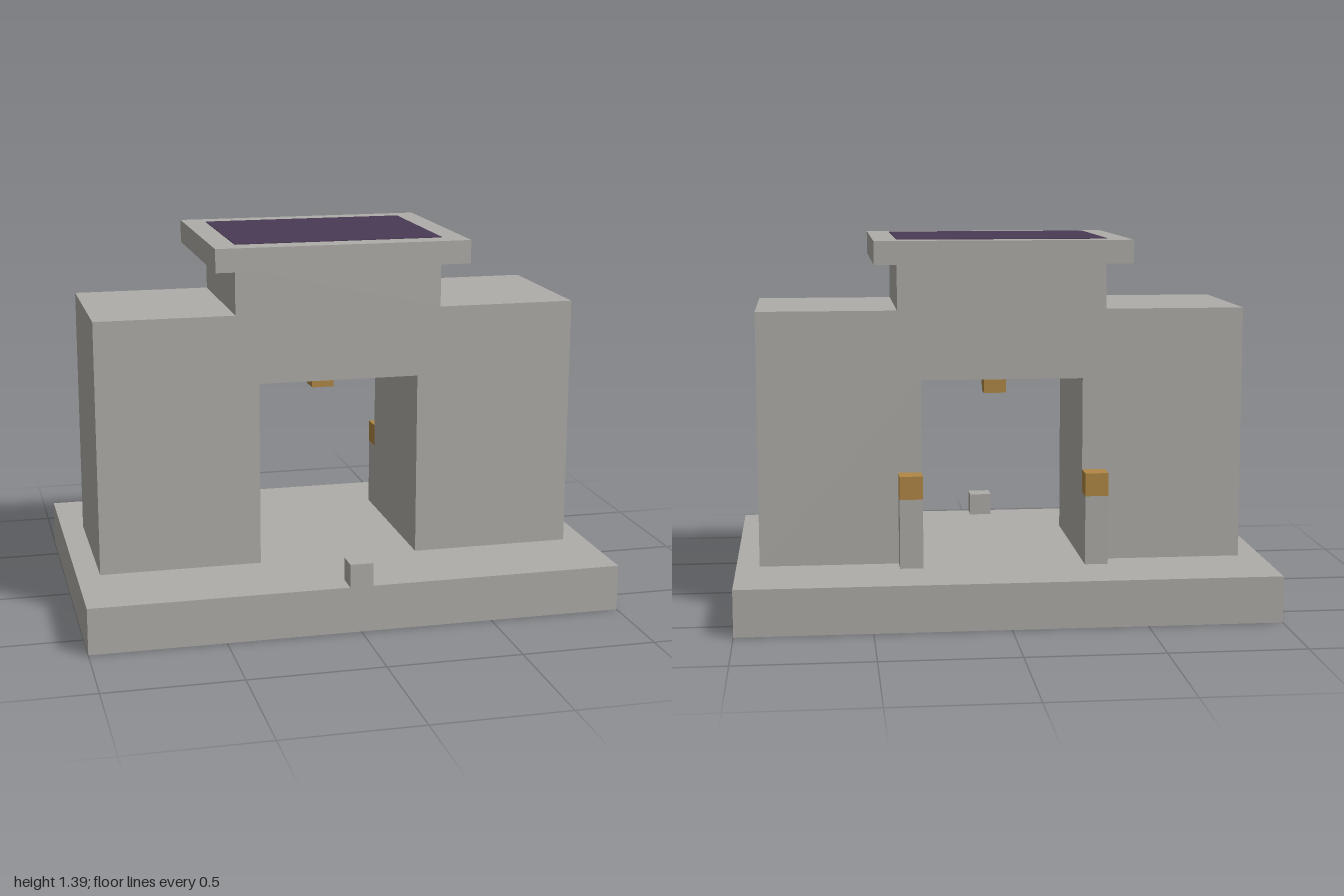
import * as THREE from 'three';

// Everything sits on a block grid, 23 blocks across the longest side
const U = 2 / 23;

export function createModel() {
  const model = new THREE.Group();
  model.name = 'gatehouse';

  const stone = new THREE.MeshStandardMaterial({ color: 0xafada8 });
  stone.name = 'stone grey';
  const gold = new THREE.MeshStandardMaterial({ color: 0xb08845 });
  gold.name = 'lamp gold';
  const purple = new THREE.MeshStandardMaterial({ color: 0x4a3a55 });
  purple.name = 'dark purple';

  // Box given in blocks: size, centre x, bottom y, centre z
  function box(name, material, [w, h, d], [x, y, z], parent = model) {
    const mesh = new THREE.Mesh(new THREE.BoxGeometry(w * U, h * U, d * U), material);
    mesh.position.set(x * U, (y + h / 2) * U, z * U);
    mesh.name = name;
    parent.add(mesh);
    return mesh;
  }

  // Base slab and the small marker at its front edge
  box('base', stone, [23, 2, 15], [0, 0, 0]);
  box('frontMarker', stone, [1, 1, 1], [0, 2, 7]);

  // Gateway: two piers, lintel and raised middle in one outline
  const half = [[3.5, 2], [10.5, 2], [10.5, 13], [4.5, 13], [4.5, 15]];
  const inner = [[-3.5, 10], [3.5, 10]];
  const mirrored = half.map(([x, y]) => [-x, y]).reverse();
  const outline = [...half, ...mirrored, ...inner];
  const shape = new THREE.Shape(outline.map(([x, y]) => new THREE.Vector2(x * U, y * U)));
  const gateGeometry = new THREE.ExtrudeGeometry(shape, { depth: 7 * U, bevelEnabled: false });
  gateGeometry.translate(0, 0, -3.5 * U);
  const gate = new THREE.Mesh(gateGeometry, stone);
  gate.name = 'gateway';
  model.add(gate);

  // Roof cap with a thin inset panel
  box('roofCap', stone, [11, 1, 9], [0, 15, 0]);
  box('roofPanel', purple, [9, 0.03, 7], [0, 16, 0]);

  // Lamp hanging from the ceiling of the passage
  box('ceilingLamp', gold, [1, 1, 1], [0, 9, 0]);

  // Lamp posts at the back, flush with the passage walls
  for (const side of [-1, 1]) {
    const lampPost = new THREE.Group();
    lampPost.name = side > 0 ? 'leftLampPost' : 'rightLampPost';
    box('post', stone, [1, 3, 1], [side * 4, 2, -4], lampPost);
    box('postLamp', gold, [1, 1, 1], [side * 4, 5, -4], lampPost);
    model.add(lampPost);
  }

  return model;
}
